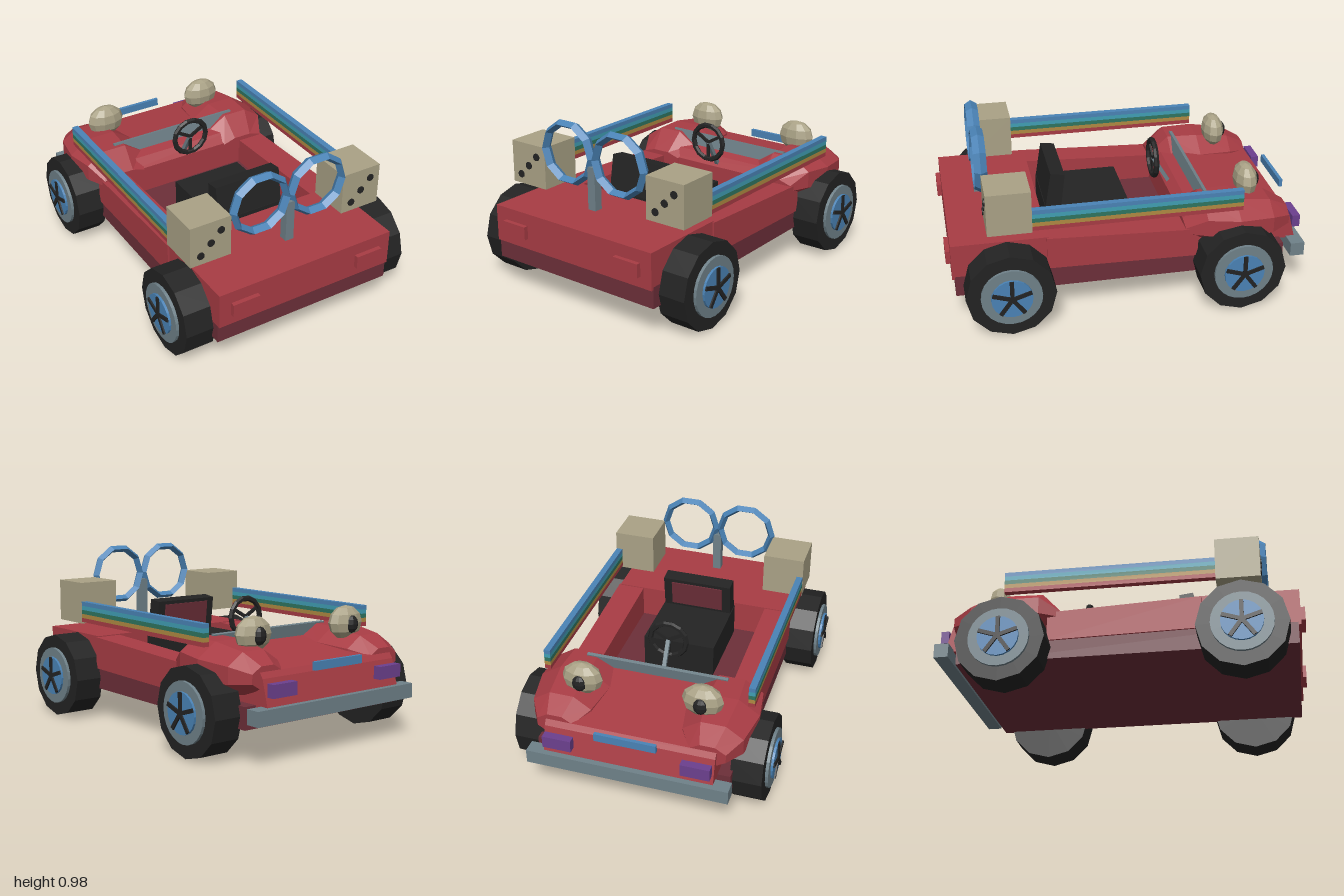
import * as THREE from 'three';

const mat = (name, color) => {
  const m = new THREE.MeshStandardMaterial({ color });
  m.name = name;
  return m;
};

// Faceted normals
function flat(geo) {
  const g = geo.index ? geo.toNonIndexed() : geo;
  g.computeVertexNormals();
  return g;
}

// Side profile of [z, y] points, extruded across x
function profile(points, width) {
  const shape = new THREE.Shape(points.map(([z, y]) => new THREE.Vector2(z, y)));
  const g = new THREE.ExtrudeGeometry(shape, { depth: width, bevelEnabled: false });
  return flat(g.translate(0, 0, -width / 2).rotateY(-Math.PI / 2));
}

// Octagonal loft along z; each station is [z, centreX, halfWidth, bottom, top]
function loft(stations, sides = 8) {
  const pos = [], idx = [];
  stations.forEach(([z, cx, hx, y0, y1]) => {
    for (let j = 0; j < sides; j++) {
      const a = ((j + 0.5) / sides) * Math.PI * 2, k = 1 / Math.cos(Math.PI / sides);
      pos.push(cx + Math.cos(a) * hx * k, (y0 + y1) / 2 + (Math.sin(a) * k * (y1 - y0)) / 2, z);
    }
  });
  const last = (stations.length - 1) * sides;
  for (let i = 0; i < last; i += sides) {
    for (let j = 0; j < sides; j++) {
      const n = (j + 1) % sides;
      idx.push(i + j, i + n, i + sides + n, i + j, i + sides + n, i + sides + j);
    }
  }
  for (let j = 1; j < sides - 1; j++) {
    idx.push(0, j + 1, j, last, last + j, last + j + 1);
  }
  const g = new THREE.BufferGeometry();
  g.setAttribute('position', new THREE.Float32BufferAttribute(pos, 3));
  g.setIndex(idx);
  return flat(g);
}

export function createModel() {
  const red = mat('red paint', 0xa83c44), maroon = mat('maroon', 0x6d2f39);
  const black = mat('black', 0x232323), grey = mat('grey metal', 0x6f8189);
  const blue = mat('blue', 0x4a83b6), beige = mat('beige', 0xaaa286);
  const purple = mat('purple', 0x6c408e), cyan = mat('cyan', 0x409fb4);
  const green = mat('green', 0x2f7560), gold = mat('gold', 0xb08a42);

  const car = new THREE.Group();
  car.name = 'buggy';
  const add = (name, geo, material, x = 0, y = 0, z = 0, parent = car) => {
    const m = new THREE.Mesh(geo, material);
    m.name = name;
    m.position.set(x, y, z);
    parent.add(m);
    return m;
  };
  // Box from min and max on each axis
  const box = (name, material, x0, x1, y0, y1, z0, z1) =>
    add(name, new THREE.BoxGeometry(x1 - x0, y1 - y0, z1 - z0), material,
      (x0 + x1) / 2, (y0 + y1) / 2, (z0 + z1) / 2);

  // Body
  box('chassis', maroon, -0.54, 0.54, 0.18, 0.3, -0.88, 0.96);
  box('rearDeck', red, -0.54, 0.54, 0.285, 0.49, 0.45, 0.975);
  add('hood', profile([[-0.32, 0.29], [-0.97, 0.29], [-0.93, 0.44], [-0.91, 0.47],
    [-0.45, 0.53], [-0.37, 0.51], [-0.32, 0.46]].reverse(), 0.94), red);
  box('bumper', grey, -0.56, 0.56, 0.22, 0.3, -1, -0.92);
  box('frontPlate', blue, -0.17, 0.17, 0.455, 0.5, -0.99, -0.97);
  const screen = box('windscreen', grey, -0.405, 0.405, 0.5, 0.6, -0.455, -0.435);
  screen.rotation.x = -0.2;

  // Seat
  box('seatCushion', black, -0.21, 0.21, 0.3, 0.49, -0.055, 0.42);
  add('seatBack', profile([[0.42, 0.47], [0.385, 0.69], [0.305, 0.68], [0.33, 0.47]].reverse(), 0.41), black);
  add('seatPanel', profile([[0.325, 0.51], [0.308, 0.66], [0.299, 0.66], [0.316, 0.51]].reverse(), 0.31), maroon);

  // Steering wheel and column
  const steering = new THREE.Group();
  steering.name = 'steeringWheel';
  steering.position.set(0, 0.635, -0.245);
  car.add(steering);
  add('rim', flat(new THREE.TorusGeometry(0.105, 0.016, 6, 14)), black, 0, 0, 0, steering);
  for (let i = 0; i < 3; i++) {
    const g = new THREE.BoxGeometry(0.018, 0.1, 0.012).translate(0, 0.05, 0);
    add('steeringSpoke', g, black, 0, 0, 0, steering).rotation.z = Math.PI + (i * Math.PI * 2) / 3;
  }
  const column = add('steeringColumn', new THREE.BoxGeometry(0.022, 0.21, 0.022), grey, 0, 0.545, -0.3);
  column.rotation.x = 0.54;

  // Wind-up key at the back
  box('keyStem', grey, -0.025, 0.025, 0.53, 0.77, 0.75, 0.8);

  for (const s of [-1, 1]) {
    // Side sill and front fender
    add('sidePanel', profile([[0.46, 0.485], [-0.38, 0.45], [-0.38, 0.285], [0.46, 0.3]].reverse(), 0.16),
      red, s * 0.47);
    add('frontFender', loft([
      [-0.91, s * 0.42, 0.1, 0.38, 0.5],
      [-0.8, s * 0.42, 0.165, 0.34, 0.56],
      [-0.6, s * 0.42, 0.2, 0.32, 0.59],
      [-0.42, s * 0.42, 0.175, 0.36, 0.59],
      [-0.31, s * 0.41, 0.13, 0.4, 0.48],
    ]), red);

    // Lights
    const lampX = s * 0.38, tailX = s * 0.39;
    box('frontLamp', purple, lampX - 0.08, lampX + 0.08, 0.35, 0.42, -1, -0.955);
    box('tailPlate', red, tailX - 0.08, tailX + 0.08, 0.345, 0.42, 0.97, 1);

    // Eyes
    add('eye', flat(new THREE.SphereGeometry(1, 10, 6).scale(0.115, 0.095, 0.065)), beige, s * 0.335, 0.625, -0.7);
    add('pupil', flat(new THREE.SphereGeometry(1, 10, 6).scale(0.042, 0.05, 0.03)), black, s * 0.335, 0.62, -0.75);

    // Key loops
    add('keyLoop', flat(new THREE.TorusGeometry(0.163, 0.021, 4, 10).scale(1, 1, 1.65)), blue, s * 0.176, 0.81, 0.775);

    // Rainbow rail
    const bx = s * 0.575;
    [blue, cyan, green, gold, red].forEach((m, i) => {
      const top = 0.69 - i * 0.024;
      box('rainbowStripe', m, bx - 0.018, bx + 0.018, top - 0.024, top, -0.615, 0.545);
    });

    // Dice with three pips
    const dx = s * 0.473;
    box('die', beige, dx - 0.121, dx + 0.121, 0.56, 0.8, 0.54, 0.78);
    for (const k of [-1, 0, 1]) {
      const pip = new THREE.CylinderGeometry(0.021, 0.021, 0.008, 14).rotateX(Math.PI / 2);
      add('pip', pip, black, dx + k * 0.06, 0.675 + k * 0.06, 0.782);
    }

    // Wheels
    for (const z of [-0.6, 0.675]) {
      const wheel = new THREE.Group();
      wheel.name = z < 0 ? 'frontWheel' : 'rearWheel';
      wheel.position.set(0, 0.245, z);
      car.add(wheel);
      const disc = (name, r, x0, x1, sides, m) =>
        add(name, flat(new THREE.CylinderGeometry(r, r, x1 - x0, sides).rotateZ(Math.PI / 2)),
          m, (s * (x0 + x1)) / 2, 0, 0, wheel);
      disc('tyre', 0.243, 0.525, 0.698, 12, black);
      disc('rim', 0.165, 0.69, 0.715, 24, grey);
      disc('hubcap', 0.112, 0.71, 0.728, 20, blue);
      for (let i = 0; i < 5; i++) {
        const g = new THREE.BoxGeometry(0.02, 0.11, 0.022).translate(0, 0.055, 0);
        add('spoke', g, black, s * 0.727, 0, 0, wheel).rotation.x = (i * Math.PI * 2) / 5;
      }
    }
  }
  return car;
}
